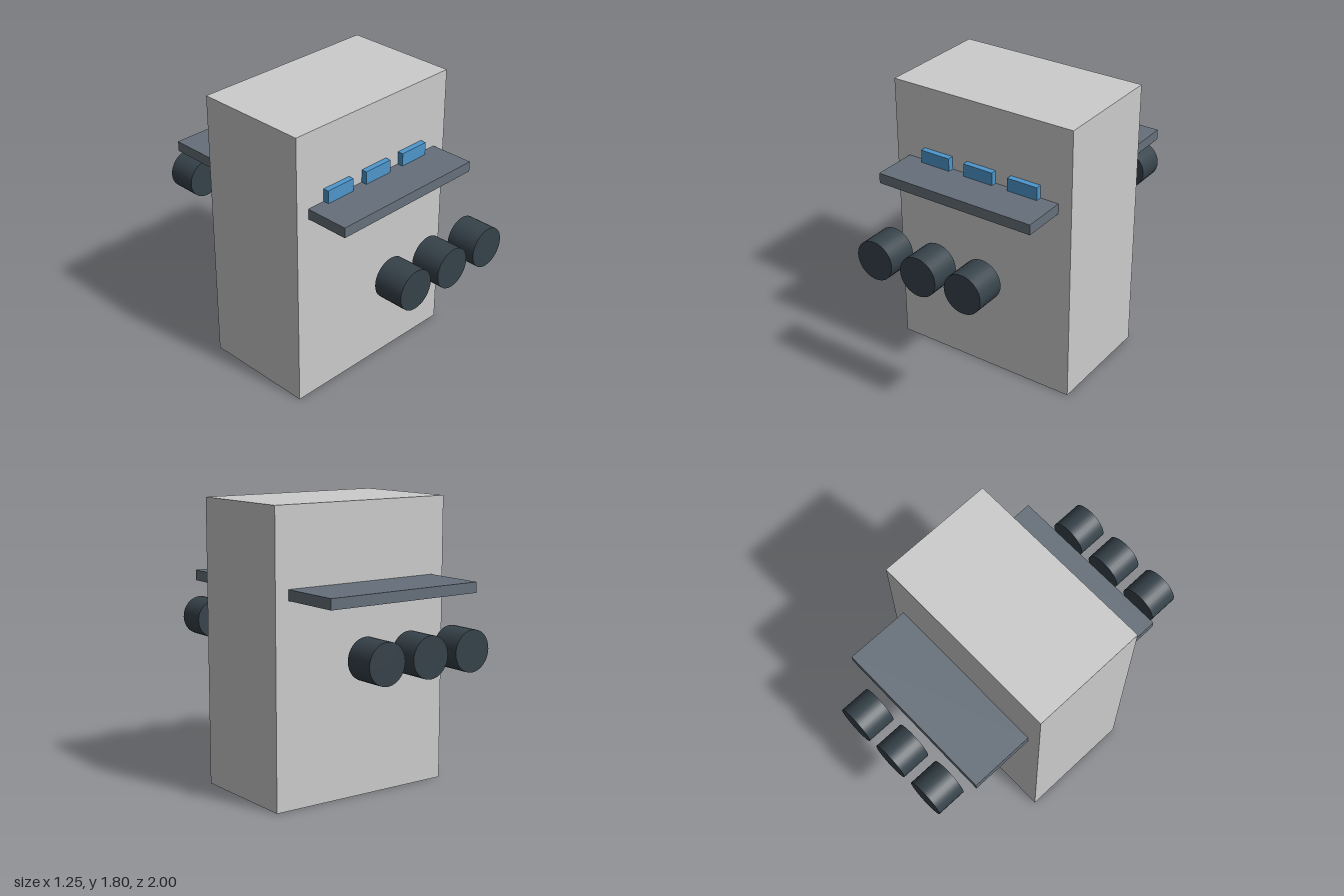
import * as THREE from 'three';

const material = (color) => new THREE.MeshStandardMaterial({ color });

export function createModel() {
  const model = new THREE.Group();
  const grey = material(0xcccccc);
  const slate = material(0x66707a);
  const dark = material(0x36424a);
  const blue = material(0x4d96cb);

  const add = (name, geometry, mat, x, y, z) => {
    const mesh = new THREE.Mesh(geometry, mat);
    mesh.name = name;
    mesh.position.set(x, y, z);
    model.add(mesh);
    return mesh;
  };

  // Main cabinet
  const halfDepth = 0.373;
  add('cabinet', new THREE.BoxGeometry(1.254, 1.805, halfDepth * 2), grey, 0, 0.9025, 0);

  // Shelves: the back one is deeper than the front one
  const shelf = (name, depth, side) =>
    add(name, new THREE.BoxGeometry(1.075, 0.066, depth), slate, 0, 1.288, side * (halfDepth + depth / 2));
  shelf('frontShelf', 0.288, 1);
  shelf('backShelf', 0.41, -1);

  // Three blue panels on the front shelf, and a row of stools on each side
  const panel = new THREE.BoxGeometry(0.205, 0.083, 0.038);
  const stool = new THREE.CylinderGeometry(0.126, 0.126, 0.194, 32).rotateX(Math.PI / 2);
  for (const i of [-1, 0, 1]) {
    const x = i * 0.313;
    add('bluePanel', panel, blue, x, 1.3625, halfDepth + 0.019);
    add('frontStool', stool, dark, x, 0.963, 0.903);
    add('backStool', stool, dark, x, 0.963, -0.903);
  }
  return model;
}
